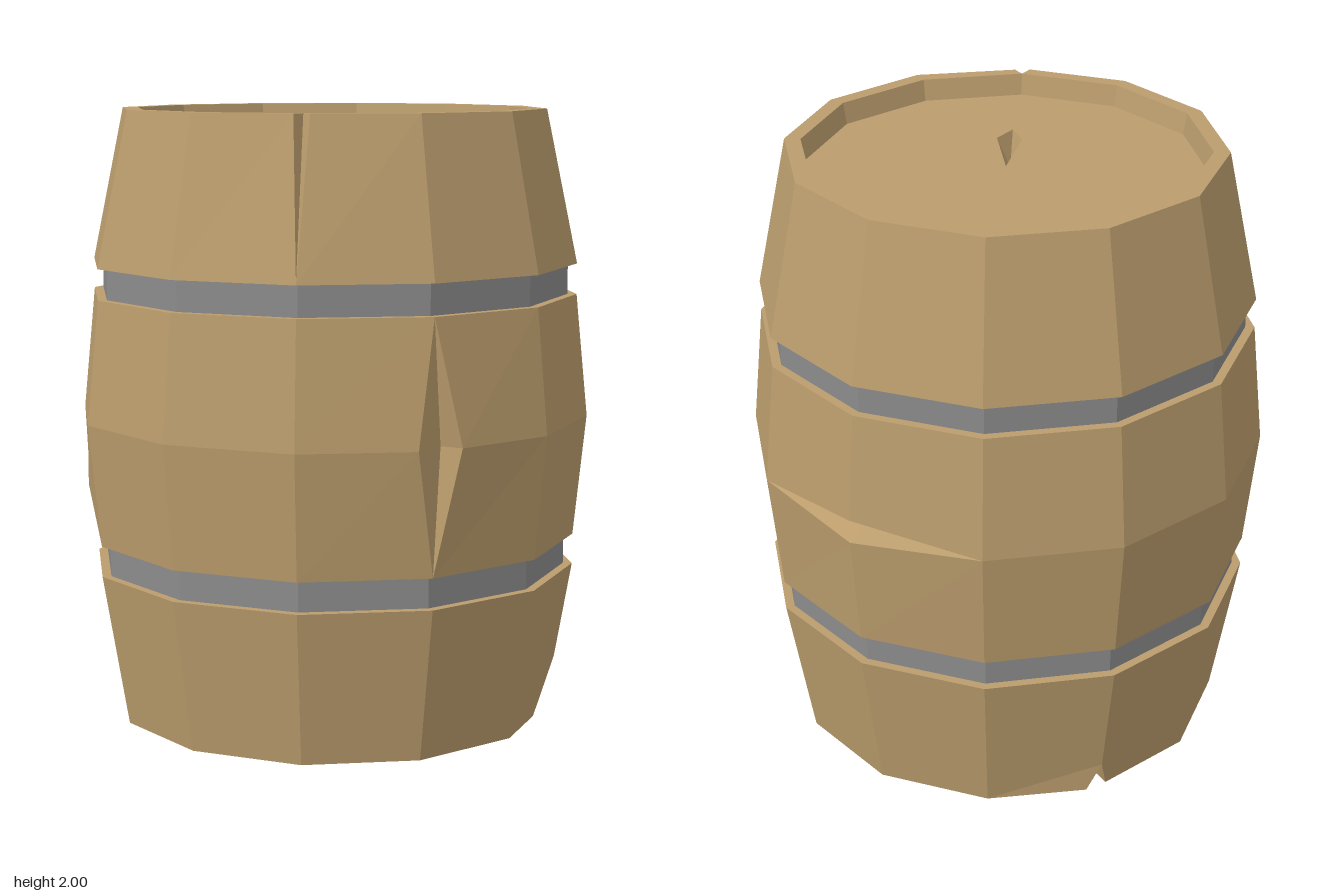
import * as THREE from 'three';

const SIDES = 12;
// Barrel profile from bottom edge to the recessed lid: [height, radius]
const PROFILE = [
  [0, 0.72], [0.5, 0.805], [0.5, 0.775], [0.6, 0.775], [0.6, 0.805], [1, 0.845],
  [1.4, 0.805], [1.4, 0.775], [1.5, 0.775], [1.5, 0.805], [2, 0.7], [2, 0.648], [1.93, 0.635],
];
const LID_Y = 1.93;

const ringPoint = (ring, col) => {
  const a = (col % SIDES) * Math.PI * 2 / SIDES;
  const [y, r] = PROFILE[ring];
  return [r * Math.sin(a), y, r * Math.cos(a)];
};

// Corners torn apart by cracks, keyed "ring,column"
const SPLITS = {
  '0,4': { left: [0.65, 0, -0.25], right: [0.61, 0, -0.33], apex: [0.65, 0.18, -0.375], end: [0.02, 0, -0.01], inner: [0.54, 0.07, -0.26] },
  '0,8': { left: [-0.6, 0, -0.4], right: [-0.63, 0, -0.33], apex: [-0.638, 0.1, -0.368], end: [-0.41, 0, -0.235], inner: [-0.54, 0.06, -0.31] },
  '5,2': { left: [0.69, 1, 0.47], right: [0.76, 1, 0.34] },
  '5,6': { below: [0, 0.97, -0.84], above: [0, 1.05, -0.84] },
  '10,1': { left: [0.325, 2, 0.61], right: [0.365, 2, 0.58] },
};
const splitAt = (ring, col) => SPLITS[`${ring},${col % SIDES}`];

// Corner of a panel; side and level tell where the panel lies from that corner
function corner(ring, col, side, level) {
  const s = splitAt(ring, col);
  return (s && (s[side] || s[level])) || ringPoint(ring, col);
}

// Collects convex polygons as flat triangles
class Faces {
  constructor() { this.pos = []; }
  fan(...p) {
    for (let i = 1; i < p.length - 1; i++) this.pos.push(...p[0], ...p[i], ...p[i + 1]);
  }
  // Sunken crack: a loop counter-clockwise from outside, walled down to one point
  pit(loop, inner) {
    loop.forEach((p, i) => this.fan(p, loop[(i + 1) % loop.length], inner));
  }
  mesh(name, material) {
    const g = new THREE.BufferGeometry();
    g.setAttribute('position', new THREE.Float32BufferAttribute(this.pos, 3));
    g.computeVertexNormals();
    const m = new THREE.Mesh(g, material);
    m.name = name;
    return m;
  }
}

// Panels between two neighbouring profile rings
function addBand(f, ring) {
  for (let j = 0; j < SIDES; j++) {
    if (ring === 4 && j === 10) { addDiagonalCrack(f); continue; }
    const a = corner(ring, j, 'right', 'above'), b = corner(ring, j + 1, 'left', 'above');
    const c = corner(ring + 1, j + 1, 'left', 'below'), d = corner(ring + 1, j, 'right', 'below');
    const apexL = splitAt(ring, j)?.apex, apexR = splitAt(ring, j + 1)?.apex;
    if (apexL) f.fan(apexL, a, b, c, d);
    else if (apexR) f.fan(apexR, c, d, a, b);
    else f.fan(a, b, c, d);
  }
}

// One panel broken from corner to corner
function addDiagonalCrack(f) {
  const a = ringPoint(4, 10), b = ringPoint(4, 11), c = ringPoint(5, 11), d = ringPoint(5, 10);
  const low = [-0.565, 0.77, 0.585], high = [-0.615, 0.82, 0.53];
  f.fan(low, a, b, c);
  f.fan(high, c, d, a);
  f.pit([a, low, c, high], [-0.54, 0.8, 0.46]);
}

export function createModel() {
  const wood = new THREE.MeshStandardMaterial({ color: 0xbb9d6d });
  wood.name = 'wood';
  const iron = new THREE.MeshStandardMaterial({ color: 0x8b8b8b });
  iron.name = 'iron';
  wood.flatShading = iron.flatShading = true;

  const barrel = new THREE.Group();
  barrel.name = 'barrel';

  // Lower staves with two broken bottom corners
  const lower = new Faces();
  [0, 1].forEach((r) => addBand(lower, r));
  for (const col of [4, 8]) {
    const s = splitAt(0, col);
    lower.pit([s.apex, s.left, s.end, s.right], s.inner);
  }
  barrel.add(lower.mesh('lowerStaves', wood));

  // Underside, following the same broken corners
  const base = new Faces(), centre = [0, 0, 0];
  for (let j = 0; j < SIDES; j++) {
    const p = corner(0, j, 'right', 'above'), q = corner(0, j + 1, 'left', 'above');
    const endL = splitAt(0, j)?.end, endR = splitAt(0, j + 1)?.end;
    if (endL) base.fan(q, p, endL, centre);
    else if (endR) base.fan(p, centre, endR, q);
    else base.fan(centre, q, p);
  }
  barrel.add(base.mesh('bottom', wood));

  // Middle staves with a split seam and a horizontal gash at the back
  const middle = new Faces();
  [3, 4, 5, 6].forEach((r) => addBand(middle, r));
  const seam = splitAt(5, 2), gash = splitAt(5, 6);
  middle.pit([ringPoint(4, 2), seam.right, ringPoint(6, 2), seam.left], [0.685, 1, 0.35]);
  middle.pit([gash.below, ringPoint(5, 7), gash.above, ringPoint(5, 5)], [0, 1, -0.75]);
  barrel.add(middle.mesh('middleStaves', wood));

  // Upper staves, rim and inner wall, with a crack through the rim
  const upper = new Faces();
  [8, 9, 10, 11].forEach((r) => addBand(upper, r));
  const rim = splitAt(10, 1);
  upper.fan(ringPoint(9, 1), rim.right, ringPoint(11, 1), rim.left);
  barrel.add(upper.mesh('upperStaves', wood));

  // Sunken hoops
  [[2, 'lowerHoop'], [7, 'upperHoop']].forEach(([r, name]) => {
    const hoop = new Faces();
    addBand(hoop, r);
    barrel.add(hoop.mesh(name, iron));
  });

  // Recessed lid with a chipped hole
  const chip = [[0, 0], [0.085, 0.215], [0.16, 0.27], [0.16, 0.18]];
  const outline = Array.from({ length: SIDES }, (_, j) => {
    const [x, , z] = ringPoint(12, j);
    return new THREE.Vector2(x, -z);
  });
  const shape = new THREE.Shape(outline);
  shape.holes.push(new THREE.Path(chip.map(([x, z]) => new THREE.Vector2(x, -z))));
  const lid = new THREE.Mesh(new THREE.ShapeGeometry(shape).rotateX(-Math.PI / 2), wood);
  lid.position.y = LID_Y;
  lid.name = 'lid';
  const hole = new Faces();
  hole.pit(chip.map(([x, z]) => [x, LID_Y, z]), [0.125, LID_Y - 0.1, 0.205]);
  barrel.add(lid, hole.mesh('lidChip', wood));

  return barrel;
}
